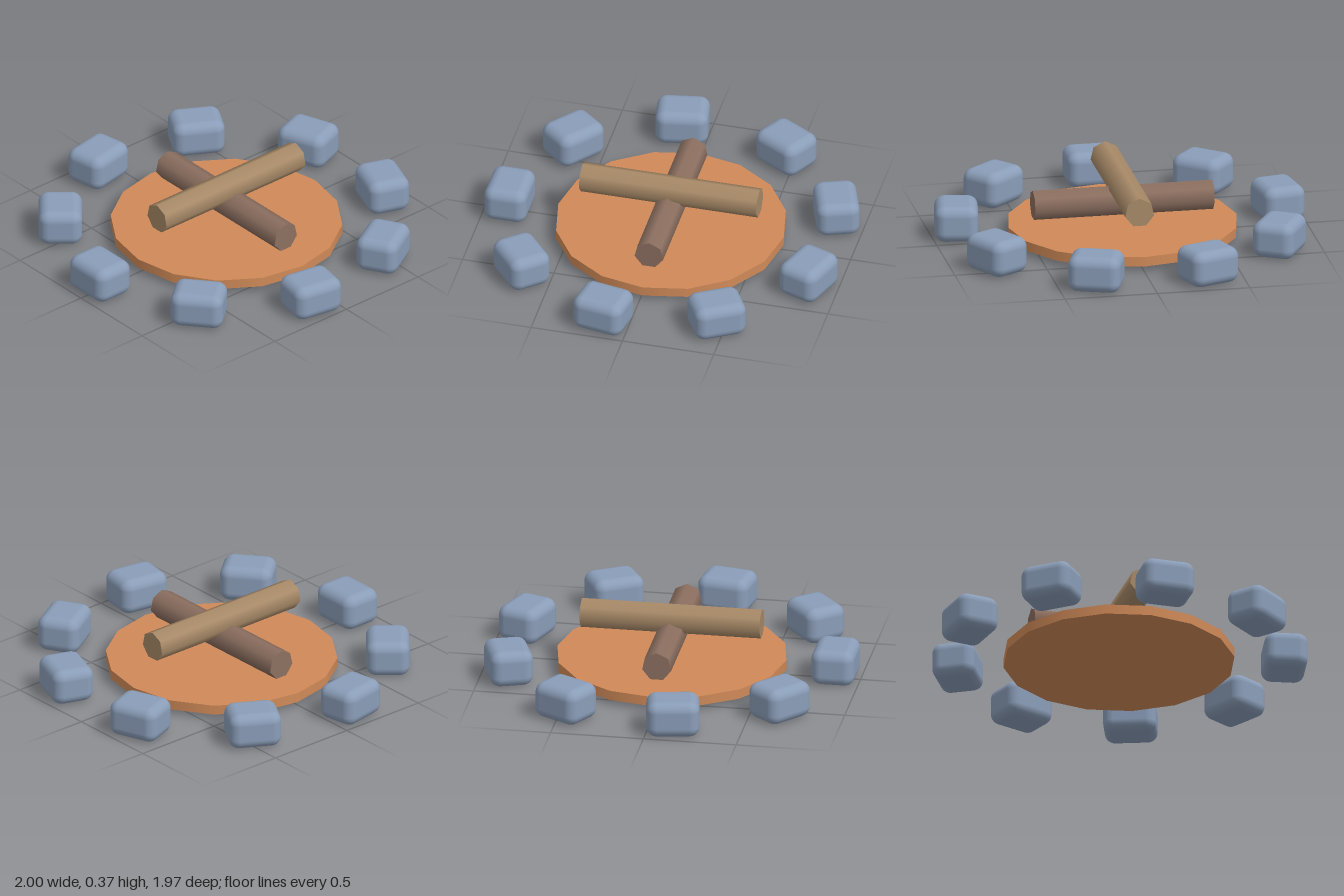
import * as THREE from 'three';
import { RoundedBoxGeometry } from 'three/addons/geometries/RoundedBoxGeometry.js';

const flat = (name, color) => {
  const m = new THREE.MeshStandardMaterial({ color });
  m.name = name;
  return m;
};

export function createModel() {
  const group = new THREE.Group();
  group.name = 'campfire';
  const stoneBlue = flat('stone blue', 0x8a9db8);
  const clay = flat('clay orange', 0xd08a58);
  const lightWood = flat('light wood', 0xa88a68);
  const darkWood = flat('dark wood', 0x8c6f60);
  const centreZ = -0.016;

  const add = (name, geometry, material, x, y, z) => {
    const mesh = new THREE.Mesh(geometry, material);
    mesh.name = name;
    mesh.position.set(x, y, z);
    group.add(mesh);
    return mesh;
  };

  // Sixteen-sided fire bed
  add('fireBed', new THREE.CylinderGeometry(0.617, 0.617, 0.053, 16), clay, 0, 0.055, centreZ);

  // Two crossed seven-sided logs, each with an edge on top
  const log = () => new THREE.CylinderGeometry(0.08, 0.08, 0.97, 7).rotateX(-Math.PI / 2);
  add('lowerLog', log().rotateY(Math.PI / 2), darkWood, 0, 0.2, centreZ);
  add('upperLog', log(), lightWood, 0, 0.285, centreZ);

  // Ring of nine rounded stones facing the middle
  const stone = new RoundedBoxGeometry(0.283, 0.197, 0.232, 4, 0.055);
  for (let i = 0; i < 9; i++) {
    const a = (i / 9) * Math.PI * 2;
    const mesh = add('stone' + (i + 1), stone, stoneBlue,
      Math.sin(a) * 0.883, 0.0985, Math.cos(a) * 0.883 + centreZ);
    mesh.rotation.y = a;
  }
  return group;
}
